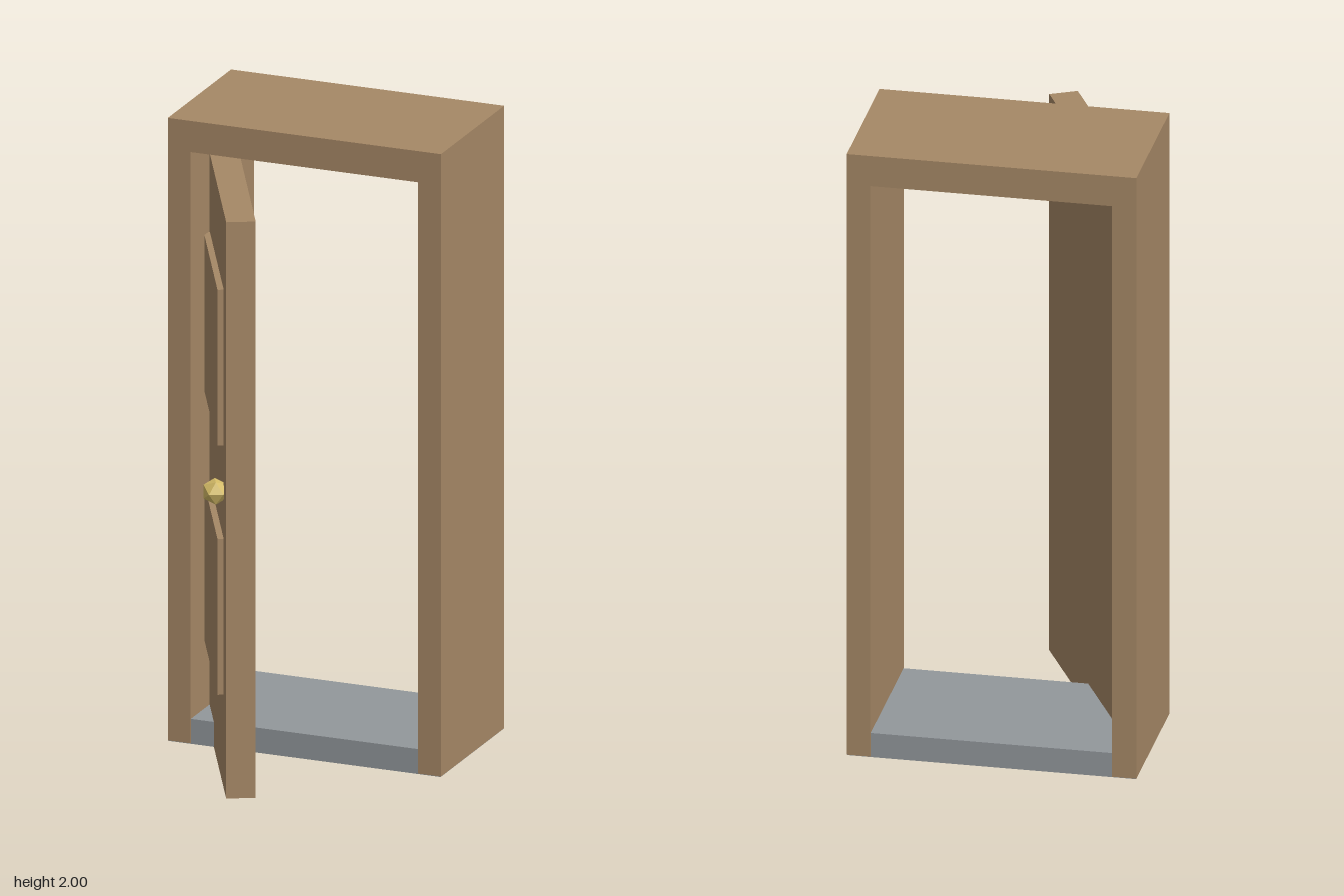
import * as THREE from 'three';

const wood = new THREE.MeshStandardMaterial({ color: 0xa68866 });
wood.name = 'wood';
const stone = new THREE.MeshStandardMaterial({ color: 0x92979b });
stone.name = 'stone';
const brass = new THREE.MeshStandardMaterial({ color: 0xd6bd68 });
brass.name = 'brass';

function add(parent, name, geometry, material, x, y, z) {
  const mesh = new THREE.Mesh(geometry, material);
  mesh.name = name;
  mesh.position.set(x, y, z);
  parent.add(mesh);
  return mesh;
}

const box = (w, h, d) => new THREE.BoxGeometry(w, h, d);

export function createModel() {
  const model = new THREE.Group();
  model.name = 'doorway';
  const depth = 0.5, frameZ = -0.219;

  // Deep frame: two posts and a lintel
  const frame = new THREE.Group();
  frame.name = 'frame';
  frame.position.z = frameZ;
  model.add(frame);
  for (const [name, side] of [['leftPost', 1], ['rightPost', -1]]) {
    add(frame, name, box(0.075, 1.898, depth), wood, side * 0.4125, 0.951, 0);
  }
  add(frame, 'lintel', box(0.9, 0.1, depth), wood, 0, 1.95, 0);

  // Threshold slab: its underside spans the whole frame
  add(frame, 'threshold', box(0.897, 0.08, depth - 0.003), stone, 0, 0.04, 0);

  // Door leaf, swung open about the hinge on its right post
  const door = new THREE.Group();
  door.name = 'door';
  door.position.set(-0.375, 0, frameZ);
  door.rotation.y = -1.1;
  model.add(door);
  add(door, 'doorLeaf', box(0.75, 1.85, 0.09), wood, 0.375, 0.925, 0);

  // Raised panels on the front face
  for (const [name, y] of [['lowerPanel', 0.55], ['upperPanel', 1.35]]) {
    add(door, name, box(0.55, 0.5, 0.03), wood, 0.375, y, 0.049);
  }

  // Faceted knob
  add(door, 'knob', new THREE.IcosahedronGeometry(0.042, 0), brass, 0.64, 0.95, 0.07);

  return model;
}
